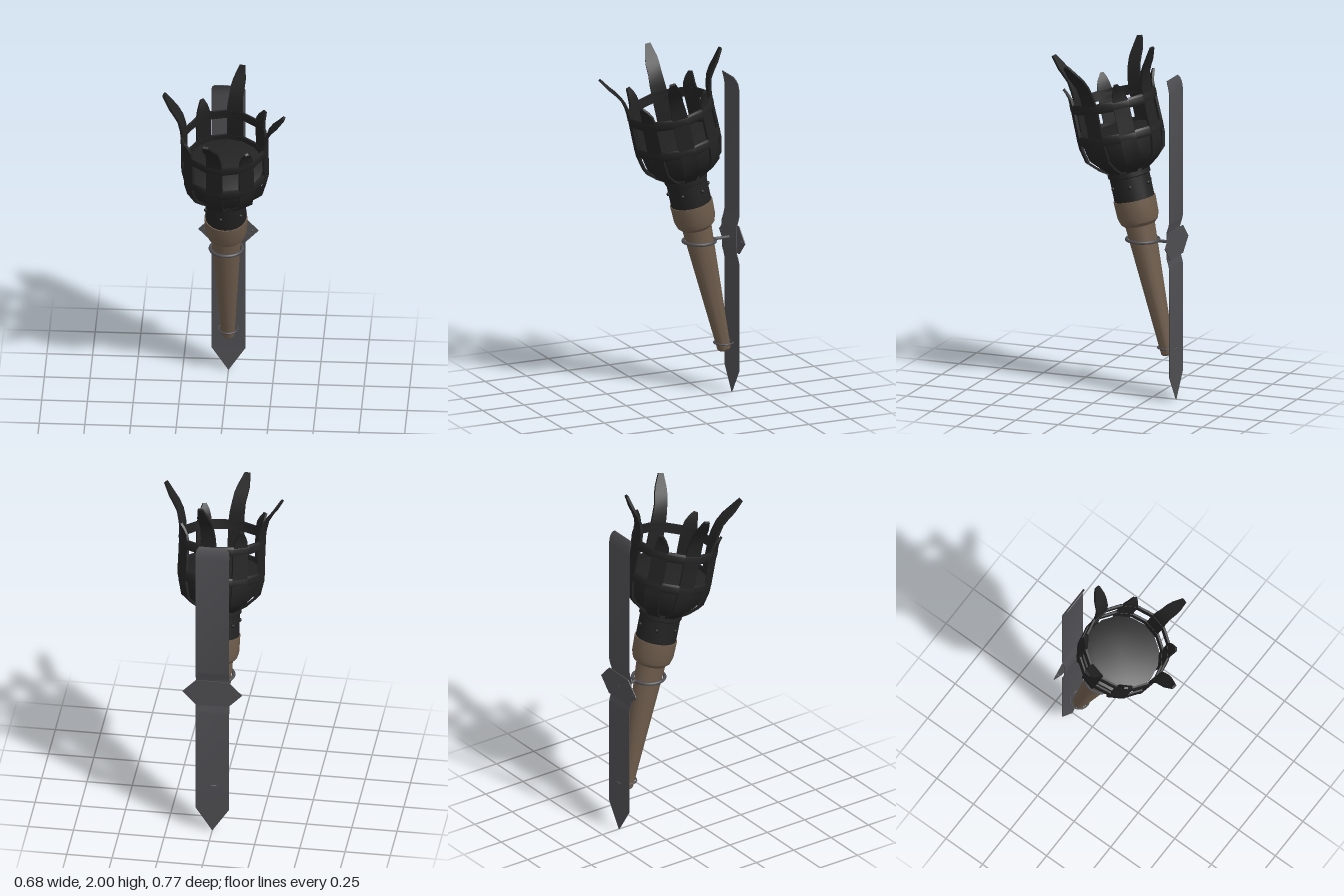
import * as THREE from 'three';
import { toCreasedNormals } from 'three/addons/utils/BufferGeometryUtils.js';

const material = (name, color) => {
  const m = new THREE.MeshStandardMaterial({ color });
  m.name = name;
  return m;
};

// Turned part from [radius, height] points, bottom to top
const turned = (points, sides = 16, crease = 0.5) =>
  toCreasedNormals(new THREE.LatheGeometry(points.map(p => new THREE.Vector2(...p)), sides), crease);

// Metal strip through rows of [z, y, halfWidth, sideShift], with a given thickness
function strip(rows, thickness) {
  const pos = [], index = [];
  rows.forEach(([z, y, w, shift = 0], i) => {
    const a = rows[Math.max(i - 1, 0)], b = rows[Math.min(i + 1, rows.length - 1)];
    const dz = b[0] - a[0], dy = b[1] - a[1], len = Math.hypot(dz, dy);
    const nz = dy / len * thickness / 2, ny = -dz / len * thickness / 2;
    pos.push(shift - w, y + ny, z + nz, shift + w, y + ny, z + nz,
      shift + w, y - ny, z - nz, shift - w, y - ny, z - nz);
  });
  for (let i = 0; i < rows.length - 1; i++) {
    for (let k = 0; k < 4; k++) {
      const a = i * 4 + k, b = i * 4 + (k + 1) % 4;
      index.push(a, b, b + 4, a, b + 4, a + 4);
    }
  }
  const t = (rows.length - 1) * 4;
  index.push(0, 2, 1, 0, 3, 2, t, t + 1, t + 2, t, t + 2, t + 3);
  const g = new THREE.BufferGeometry();
  g.setAttribute('position', new THREE.Float32BufferAttribute(pos, 3));
  g.setIndex(index);
  return toCreasedNormals(g, 0.6);
}

export function createModel() {
  const model = new THREE.Group();
  model.name = 'wallTorch';
  const wood = material('wood', 0x6e5c4c);
  const iron = material('blackIron', 0x222223);
  const steel = material('steel', 0x4e4e52);

  const add = (parent, name, geometry, mat, x = 0, y = 0, z = 0) => {
    const mesh = new THREE.Mesh(geometry, mat);
    mesh.name = name;
    mesh.position.set(x, y, z);
    parent.add(mesh);
    return mesh;
  };

  // Torch leaning forward out of its holder
  const torch = new THREE.Group();
  torch.name = 'torch';
  torch.position.set(0, 0.25, -0.34);
  torch.rotation.x = THREE.MathUtils.degToRad(13);
  model.add(torch);

  // Wooden handle and collar
  add(torch, 'handle', turned([[0, -0.004], [0.03, -0.003], [0.037, 0.006], [0.083, 0.75]], 14), wood);
  add(torch, 'collar', turned([[0.06, 0.733], [0.084, 0.736], [0.104, 0.755], [0.115, 0.79],
    [0.118, 0.885], [0, 0.885]], 20), wood);

  // Iron socket with rivets
  add(torch, 'socket', turned([[0.112, 0.87], [0.112, 1.015], [0.119, 1.02], [0.119, 1.055], [0, 1.055]], 20), iron);
  const rivet = new THREE.SphereGeometry(0.011, 8, 6);
  for (let i = 0; i < 6; i++) {
    const a = -0.2 + i * Math.PI / 3;
    add(torch, 'socketRivet', rivet, iron, Math.sin(a) * 0.113, 0.965, Math.cos(a) * 0.113);
  }

  // Bowl inside the basket, with a slightly domed filling
  add(torch, 'bowl', turned([[0.1, 1.05], [0.15, 1.085], [0.198, 1.135], [0.212, 1.215], [0.213, 1.27],
    [0.15, 1.285], [0, 1.295]], 16, 0.7), iron);

  // Basket ribs: alternating short ones and tall, flared ones
  const body = [[0.105, 1.045, 0.03], [0.162, 1.085, 0.036], [0.212, 1.135, 0.042],
    [0.229, 1.215, 0.045], [0.23, 1.3, 0.045], [0.228, 1.45, 0.045]];
  const shortRib = strip([...body, [0.231, 1.5, 0.036], [0.24, 1.53, 0.026, -0.004], [0.254, 1.56, 0.01, -0.008]], 0.013);
  const tallRib = strip([...body, [0.234, 1.51, 0.042], [0.249, 1.57, 0.038, -0.003], [0.275, 1.615, 0.038, -0.006],
    [0.302, 1.65, 0.034, -0.01], [0.343, 1.715, 0.015, -0.016]], 0.013);
  for (let i = 0; i < 8; i++) {
    const rib = add(torch, i % 2 ? 'shortRib' : 'tallRib', i % 2 ? shortRib : tallRib, iron);
    rib.rotation.y = (i - 0.25) * Math.PI / 4;
  }

  // Two hoops around the ribs
  const hoop = turned([[0.226, -0.027], [0.236, -0.027], [0.241, -0.015], [0.241, 0.015], [0.236, 0.027],
    [0.226, 0.027], [0.226, -0.027]]);
  add(torch, 'lowerHoop', hoop, iron, 0, 1.262);
  add(torch, 'upperHoop', hoop, iron, 0, 1.443);

  // Wall bracket: long strap with a pointed foot, raised middle and bent top
  const bracket = new THREE.Group();
  bracket.name = 'wallBracket';
  model.add(bracket);
  add(bracket, 'strap', strip([[-0.387, 0, 0.001], [-0.387, 0.14, 0.093], [-0.387, 0.75, 0.093],
    [-0.382, 0.775, 0.093], [-0.372, 0.81, 0.093], [-0.371, 0.96, 0.093], [-0.382, 0.995, 0.093],
    [-0.387, 1.02, 0.093], [-0.387, 1.74, 0.093], [-0.381, 1.775, 0.093], [-0.373, 1.797, 0.088],
    [-0.364, 1.813, 0.075]], 0.004), steel);

  // Cross plate with pointed ends behind the strap
  const cross = new THREE.Shape([[-0.165, 0], [-0.09, -0.078], [0.09, -0.078], [0.165, 0], [0.09, 0.078], [-0.09, 0.078]]
    .map(p => new THREE.Vector2(...p)));
  add(bracket, 'crossPlate', new THREE.ExtrudeGeometry(cross, { depth: 0.005, bevelEnabled: false }),
    steel, 0, 0.885, -0.392);
  for (const x of [-0.13, 0.13]) {
    add(bracket, 'plateRivet', new THREE.SphereGeometry(0.008, 8, 6), steel, x, 0.885, -0.387);
  }

  // Holding rings and the stem of the upper one
  const ring = (name, radius, tube, y, z) => {
    add(bracket, name, new THREE.TorusGeometry(radius, tube, 8, 28), steel, 0, y, z).rotation.x = Math.PI / 2;
  };
  ring('upperRing', 0.089, 0.009, 0.885, -0.19);
  ring('lowerRing', 0.053, 0.005, 0.288, -0.337);
  const stem = add(bracket, 'ringStem', new THREE.CylinderGeometry(0.009, 0.009, 0.118, 10), steel, 0, 0.885, -0.335);
  stem.rotation.x = Math.PI / 2;

  return model;
}
